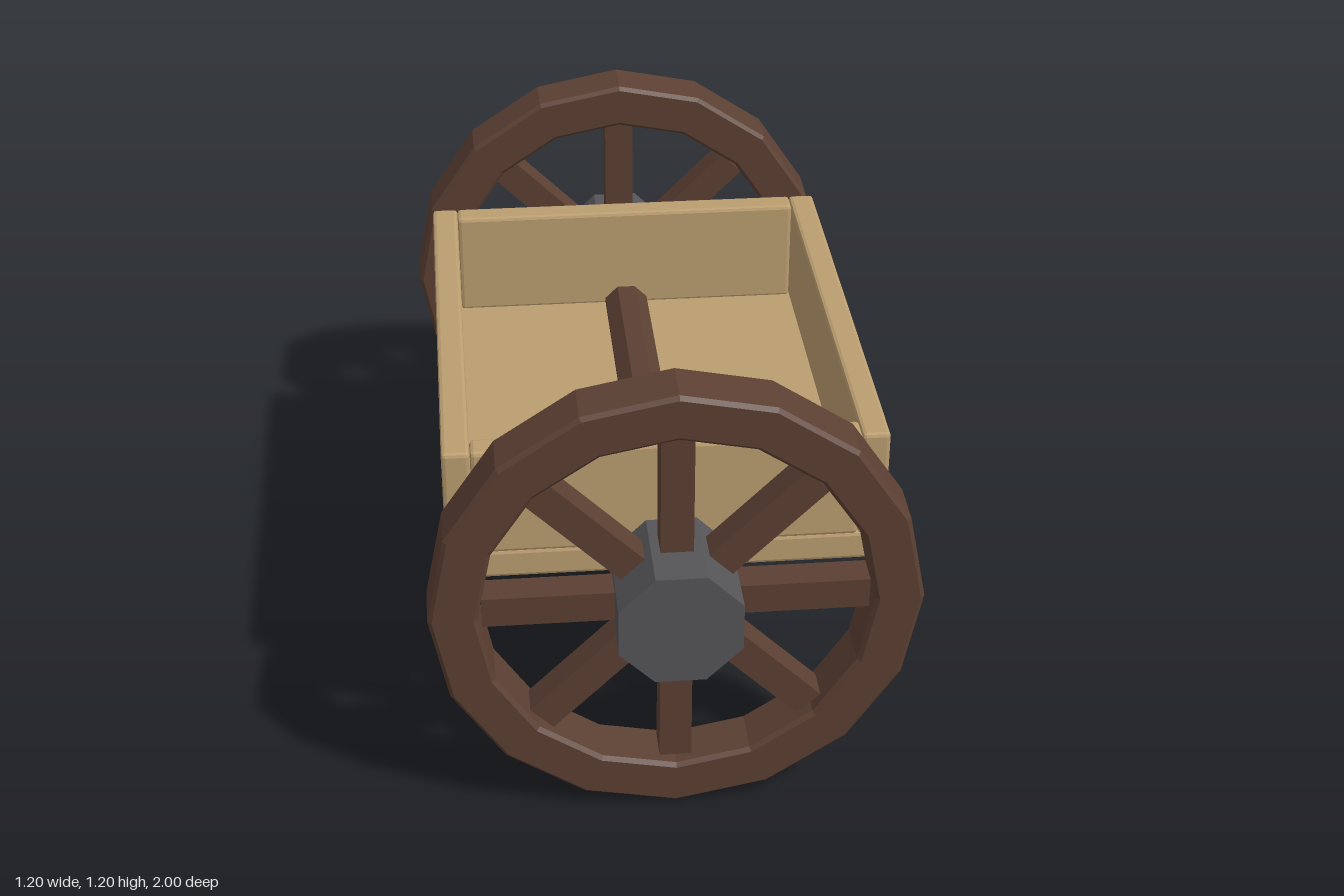
import * as THREE from 'three';
import { RoundedBoxGeometry } from 'three/addons/geometries/RoundedBoxGeometry.js';

const paint = (color) => new THREE.MeshStandardMaterial({ color, flatShading: true });
const darkWood = paint(0x5c4033);
const paleWood = paint(0xbc9e70);
const iron = paint(0x555558);

const AXLE_Y = 0.6;
const BEVEL = 0.01;

function add(parent, name, geometry, material, x = 0, y = 0, z = 0) {
  const mesh = new THREE.Mesh(geometry, material);
  mesh.name = name;
  mesh.position.set(x, y, z);
  parent.add(mesh);
  return mesh;
}

// Plank with chamfered edges
const plank = (w, h, d) => new RoundedBoxGeometry(w, h, d, 1, BEVEL);

// Octagonal bar along z, measured across its flats
function octagonBar(halfWidth, length) {
  const r = halfWidth / Math.cos(Math.PI / 8);
  return new THREE.CylinderGeometry(r, r, length, 8).rotateY(Math.PI / 8).rotateX(Math.PI / 2);
}

function polygon(radius, sides) {
  return Array.from({ length: sides }, (_, i) => {
    const a = (i / sides) * Math.PI * 2;
    return new THREE.Vector2(radius * Math.cos(a), radius * Math.sin(a));
  });
}

// Sixteen-sided bevelled rim, centred on z = 0
function rimGeometry(outer, inner, depth) {
  const shape = new THREE.Shape(polygon(outer, 16));
  shape.holes.push(new THREE.Path(polygon(inner, 16)));
  return new THREE.ExtrudeGeometry(shape, {
    depth: depth - 2 * BEVEL,
    bevelEnabled: true,
    bevelThickness: BEVEL,
    bevelSize: BEVEL,
    bevelOffset: -BEVEL,
    bevelSegments: 1,
  }).translate(0, 0, BEVEL - depth / 2);
}

function createWheel(name, side) {
  const wheel = new THREE.Group();
  wheel.name = name;
  wheel.position.set(0, AXLE_Y, side * 0.85);
  add(wheel, 'rim', rimGeometry(0.6, 0.48, 0.14), darkWood);
  add(wheel, 'hub', octagonBar(0.15, 0.25), iron, 0, 0, side * 0.025);
  // Eight spokes running from inside the hub to the rim
  for (let i = 0; i < 8; i++) {
    const spoke = new THREE.BoxGeometry(0.08, 0.37, 0.08).translate(0, 0.285, 0);
    add(wheel, 'spoke', spoke, darkWood).rotation.z = (i * Math.PI) / 4;
  }
  return wheel;
}

export function createModel() {
  const cart = new THREE.Group();
  cart.name = 'cart';

  // Open tray: floor, two long side boards, two end boards between them
  const tray = new THREE.Group();
  tray.name = 'tray';
  cart.add(tray);
  add(tray, 'floor', plank(1.1, 0.08, 1.3), paleWood, 0, 0.57, 0);
  for (const s of [1, -1]) {
    add(tray, s > 0 ? 'leftBoard' : 'rightBoard', plank(0.07, 0.295, 1.3), paleWood, s * 0.515, 0.7525, 0);
    add(tray, s > 0 ? 'frontBoard' : 'backBoard', plank(0.96, 0.295, 0.07), paleWood, 0, 0.7525, s * 0.615);
    cart.add(createWheel(s > 0 ? 'frontWheel' : 'backWheel', s));
  }

  // Axle through the tray, joining both hubs
  add(cart, 'axle', octagonBar(0.06, 1.54), darkWood, 0, AXLE_Y, 0);
  return cart;
}
